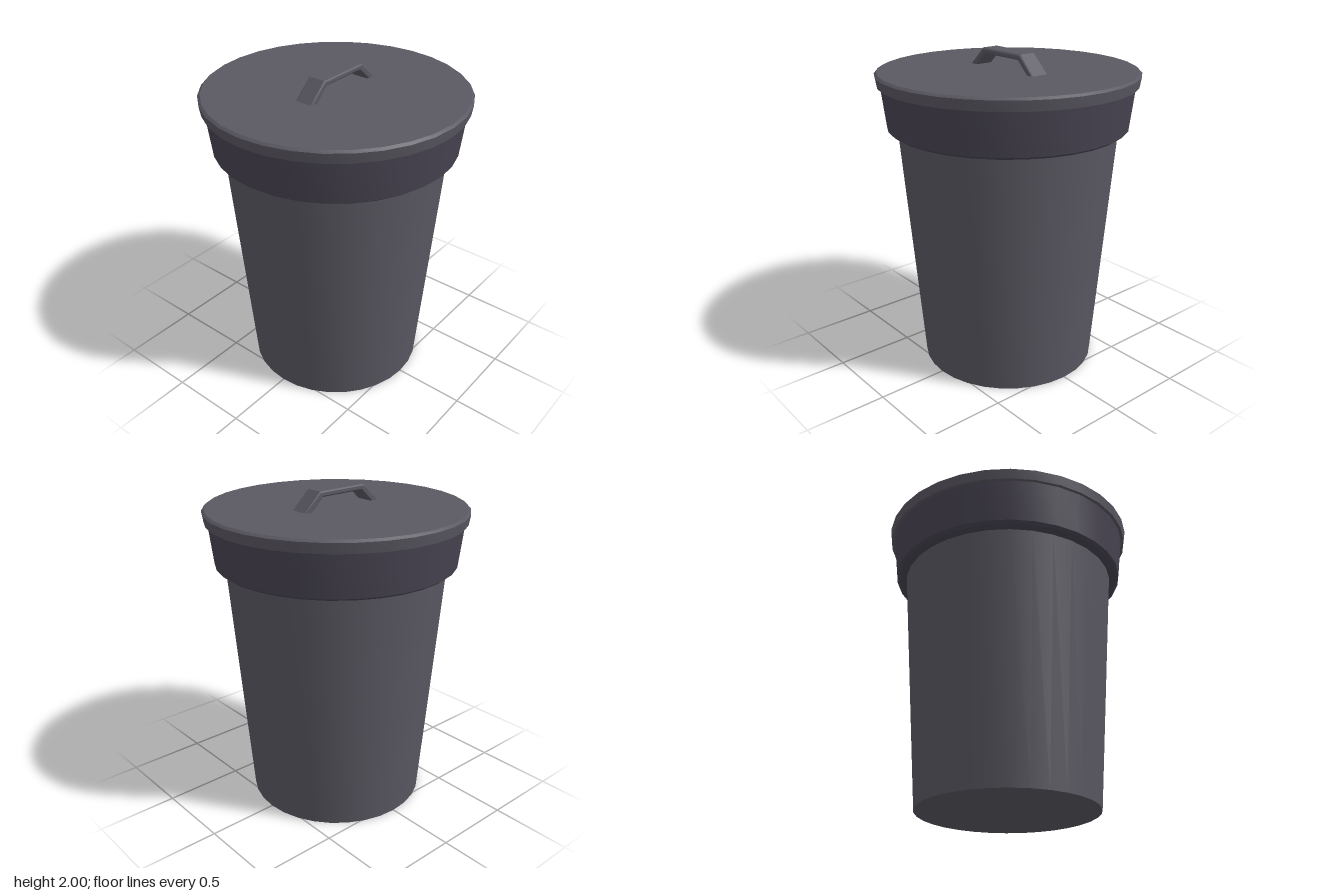
import * as THREE from 'three';
import { toCreasedNormals } from 'three/addons/utils/BufferGeometryUtils.js';

const SEGMENTS = 32;
const bodyMaterial = new THREE.MeshStandardMaterial({ color: 0x5a5862 });
const bandMaterial = new THREE.MeshStandardMaterial({ color: 0x484452 });

function addMesh(group, name, geometry, material) {
  const mesh = new THREE.Mesh(geometry, material);
  mesh.name = name;
  group.add(mesh);
  return mesh;
}

// Round part from a bottom-to-top profile of [radius, height], with crisp edges
function turned(profile) {
  const points = profile.map(([r, y]) => new THREE.Vector2(r, y));
  return toCreasedNormals(new THREE.LatheGeometry(points, SEGMENTS), 0.4);
}

export function createModel() {
  const bin = new THREE.Group();
  bin.name = 'bin';

  // Tapered body with a closed base
  addMesh(bin, 'body', turned([[0, 0], [0.555, 0], [0.678, 1.55]]), bodyMaterial);

  // Flared collar around the top of the body
  addMesh(bin, 'collar', turned([
    [0.67, 1.53], [0.72, 1.54], [0.74, 1.555], [0.772, 1.83],
  ]), bandMaterial);

  // Flat lid with a bevelled, slightly tapered rim
  addMesh(bin, 'lid', turned([
    [0, 1.815], [0.79, 1.815], [0.8, 1.877], [0.785, 1.89], [0, 1.89],
  ]), bodyMaterial);

  // Arched handle: a bent bar running front to back, with small bevels
  const bevel = 0.008;
  const width = 0.12;
  const half = [[0.285, 1.885], [0.167, 1.992], [0.152, 1.974], [0.245, 1.885]];
  const [foot, top, under, inner] = half;
  const flip = ([z, y]) => [-z, y];
  const outline = [foot, top, flip(top), flip(foot), flip(inner), flip(under), under, inner];
  const shape = new THREE.Shape(outline.map(([z, y]) => new THREE.Vector2(z, y)));
  const handle = new THREE.ExtrudeGeometry(shape, {
    depth: width - 2 * bevel,
    bevelEnabled: true,
    bevelThickness: bevel,
    bevelSize: bevel,
    bevelSegments: 1,
  });
  handle.translate(0, 0, bevel - width / 2);
  handle.rotateY(Math.PI / 2);
  addMesh(bin, 'handle', handle, bodyMaterial);

  return bin;
}
